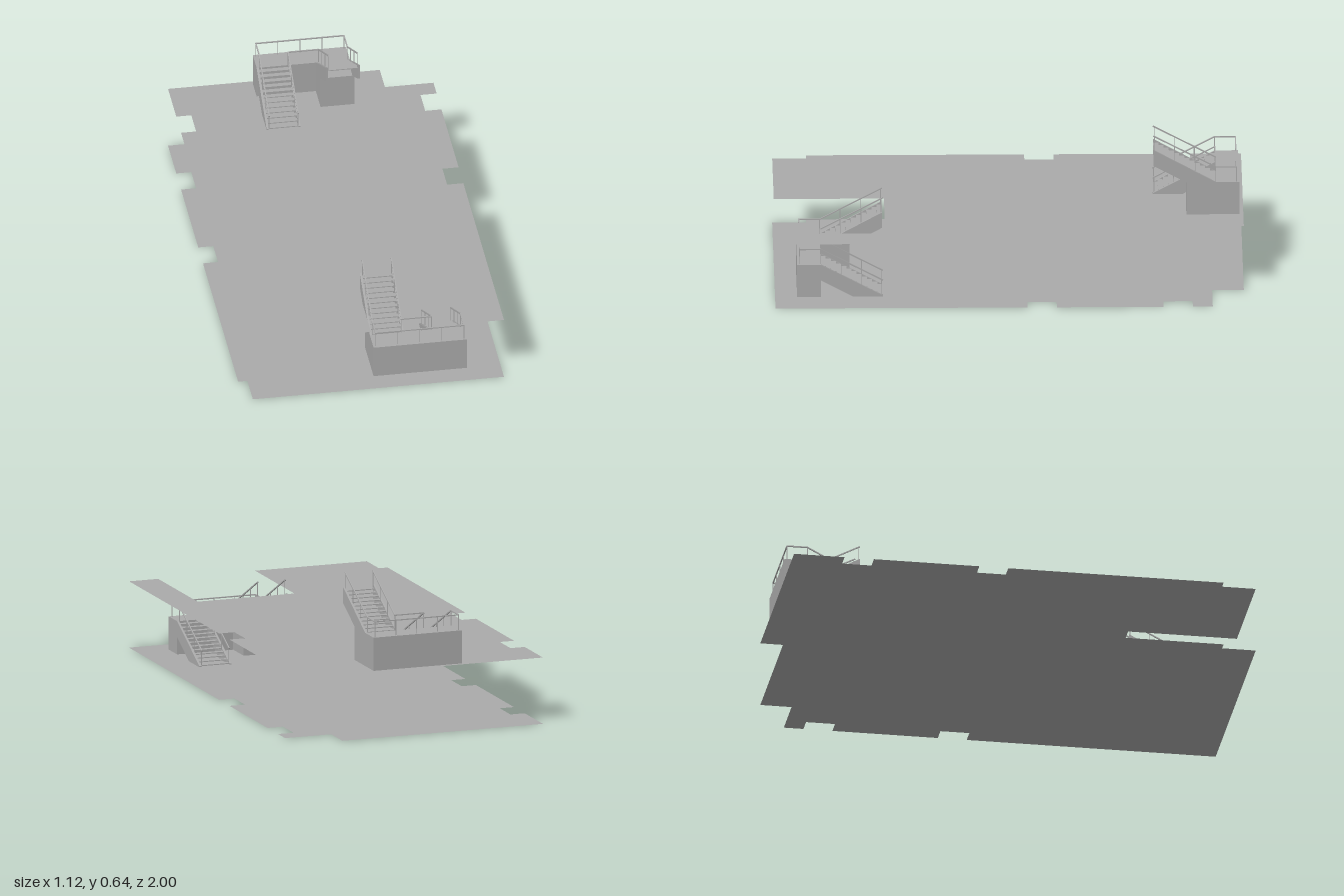
import * as THREE from 'three';

export function createModel() {
  const model = new THREE.Group();
  const grey = new THREE.MeshStandardMaterial({ color: 0xaaaaaa });
  grey.name = 'concreteGrey';
  grey.side = THREE.DoubleSide;

  const FLOOR = 0.29, HALF = 0.145;      // storey height, landing height
  const Z0 = 0.54, Z1 = 0.805, Z2 = 0.906; // flight end, landing edge, landing back
  const RAIL = 0.066, STEPS = 12;

  function add(parent, name, geometry) {
    const mesh = new THREE.Mesh(geometry, grey);
    mesh.name = name;
    parent.add(mesh);
    return mesh;
  }

  // Box given by its minimum and maximum corners
  function box(parent, name, x0, x1, y0, y1, z0, z1) {
    add(parent, name, new THREE.BoxGeometry(x1 - x0, y1 - y0, z1 - z0))
      .position.set((x0 + x1) / 2, (y0 + y1) / 2, (z0 + z1) / 2);
  }

  // Square bar between two points
  function bar(parent, name, a, b, size) {
    const from = new THREE.Vector3(...a), to = new THREE.Vector3(...b);
    const mesh = add(parent, name, new THREE.BoxGeometry(size, size, from.distanceTo(to) + size * 0.5));
    mesh.position.copy(from).add(to).multiplyScalar(0.5);
    mesh.lookAt(to);
  }

  // Floor plates: thin notched sheets, outline as [x, z]
  function floorPlate(name, y, frontEdge) {
    const outline = [
      [-0.565, -1], [0.35, -1], [0.35, -0.865], [0.56, -0.865],
      [0.56, -0.78], [0.49, -0.78], [0.49, -0.655], [0.56, -0.655],
      [0.56, -0.2], [0.49, -0.2], [0.49, -0.075], [0.56, -0.075],
      [0.56, 1], ...frontEdge, [-0.525, 1], [-0.525, 0.855], [-0.565, 0.855],
      [-0.565, -0.075], [-0.5, -0.075], [-0.5, -0.2], [-0.565, -0.2],
      [-0.565, -0.655], [-0.5, -0.655], [-0.5, -0.782], [-0.565, -0.782],
    ];
    const shape = new THREE.Shape(outline.map(([x, z]) => new THREE.Vector2(x, -z)));
    add(model, name, new THREE.ShapeGeometry(shape).rotateX(-Math.PI / 2)).position.y = y;
  }
  floorPlate('lowerFloor', 0, []);
  floorPlate('upperFloor', FLOOR, [[0.427, 1], [0.427, 0.53], [-0.015, 0.53], [-0.015, 1]]);

  // One flight: two side stringers, open treads, handrails and posts
  function flight(parent, name, xc, profile, yEnd) {
    const group = new THREE.Group();
    group.name = name;
    parent.add(group);
    const shape = new THREE.Shape(profile.map(([z, y]) => new THREE.Vector2(z, y)));
    const half = 0.0735, thick = 0.009;
    for (const x of [xc - half + thick, xc + half]) {
      const geometry = new THREE.ExtrudeGeometry(shape, { depth: thick, bevelEnabled: false });
      add(group, 'stringer', geometry.rotateY(-Math.PI / 2)).position.x = x;
    }
    const run = (Z1 - Z0) / STEPS, slopeY = (z) => HALF + (yEnd - HALF) * (Z1 - z) / (Z1 - Z0);
    for (let i = 0; i < STEPS; i++) {
      const z = Z0 + i * run;
      const top = slopeY(z + run / 2) - 0.003;
      box(group, 'tread', xc - half + thick, xc + half - thick, top - 0.004, top, z, z + run);
    }
    for (const x of [xc - 0.0625, xc + 0.0625]) {
      bar(group, 'handrail', [x, yEnd + RAIL, Z0], [x, HALF + RAIL, Z1], 0.005);
      for (const z of [0.545, 0.63, 0.718, Z1]) {
        bar(group, 'railPost', [x, slopeY(z) - 0.005, z], [x, slopeY(z) + RAIL, z], 0.003);
      }
    }
  }

  // Half-turn staircase, centred on x
  function staircase(name) {
    const stairs = new THREE.Group();
    stairs.name = name;
    model.add(stairs);
    box(stairs, 'landing', -0.2015, 0.2015, 0, HALF, Z1, Z2);
    box(stairs, 'flightSupport', -0.2015, -0.0545, 0, HALF, 0.68, Z1);
    flight(stairs, 'lowerFlight', 0.128,
      [[Z0, 0], [0.665, 0], [Z1, 0.075], [Z1, HALF], [Z0, 0.005]], 0.005);
    flight(stairs, 'upperFlight', -0.128,
      [[Z0, 0.22], [Z0, FLOOR], [Z1, HALF], [0.68, HALF]], FLOOR - 0.005);

    // Landing railing
    const y = HALF + RAIL, zr = 0.894, xr = 0.1905;
    bar(stairs, 'landingRail', [-xr, y, zr], [xr, y, zr], 0.005);
    bar(stairs, 'innerRail', [-0.0655, y, Z1], [0.0655, y, Z1], 0.005);
    for (const s of [-1, 1]) bar(stairs, 'landingRail', [s * xr, y, Z1], [s * xr, y, zr], 0.005);
    for (let i = -2; i <= 2; i++) {
      bar(stairs, 'railPost', [i * xr / 2, HALF, zr], [i * xr / 2, y, zr], 0.003);
    }
    return stairs;
  }
  staircase('frontStaircase').position.x = 0.2135;
  const back = staircase('backStaircase');
  back.rotation.y = Math.PI;
  back.position.set(0, FLOOR, -0.077);

  return model;
}
